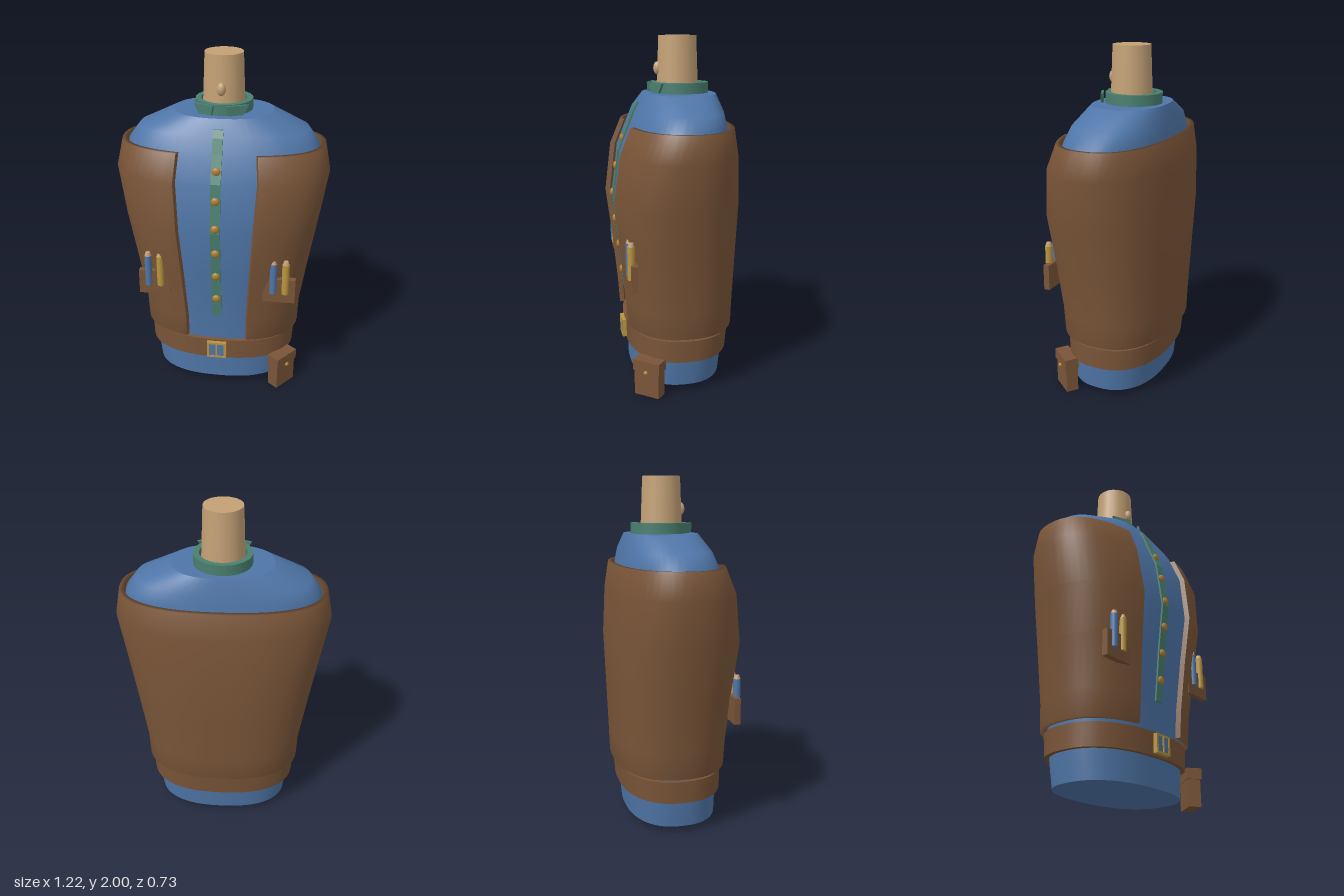
import * as THREE from 'three';
import { toCreasedNormals } from 'three/addons/utils/BufferGeometryUtils.js';

const N = 2.4; // superellipse exponent of the body's cross-sections
// body levels: y, half width, front z, back z
const BODY = [
  [0.04, 0.40, 0.255, -0.275], [0.20, 0.42, 0.258, -0.29], [0.35, 0.43, 0.265, -0.305],
  [0.50, 0.435, 0.275, -0.31], [0.80, 0.48, 0.305, -0.32], [1.08, 0.525, 0.34, -0.33],
  [1.36, 0.57, 0.302, -0.312], [1.51, 0.54, 0.24, -0.288], [1.59, 0.48, 0.21, -0.275],
  [1.68, 0.28, 0.158, -0.25],
];

function mat(name, color) {
  const m = new THREE.MeshStandardMaterial({ color });
  m.name = name;
  return m;
}

// body level at any height, grown outward by d
function level(y, d = 0) {
  let i = 0;
  while (i < BODY.length - 2 && y > BODY[i + 1][0]) i++;
  const t = (y - BODY[i][0]) / (BODY[i + 1][0] - BODY[i][0]);
  const [, a, f, b] = BODY[i].map((v, k) => THREE.MathUtils.lerp(v, BODY[i + 1][k], t));
  return [y, a + d, f + d, b - d];
}

// points of one level from angle t0 to t1 (0 = front, growing towards +x)
function section([y, a, f, b], t0, t1, n) {
  const pow = (v) => Math.sign(v) * Math.abs(v) ** (2 / N);
  return Array.from({ length: n + 1 }, (_, i) => {
    const t = t0 + ((t1 - t0) * i) / n;
    return [a * pow(Math.sin(t)), y, (f + b) / 2 + ((f - b) / 2) * pow(Math.cos(t))];
  });
}

// skin through rows of points; options close it around, close the profile, or cap it
function skin(rows, { around = false, profile = false, caps = false, ends = false }) {
  const pos = [], idx = [];
  if (around) rows = rows.map((r) => r.slice(0, -1));
  const n = rows[0].length, m = rows.length;
  rows.flat().forEach((p) => pos.push(...p));
  const quad = (a, b, c, d) => idx.push(a, b, c, a, c, d);
  for (let r = 0; r < (profile ? m : m - 1); r++) {
    for (let i = 0; i < (around ? n : n - 1); i++) {
      const j = (i + 1) % n, s = (r + 1) % m;
      quad(r * n + i, r * n + j, s * n + j, s * n + i);
    }
  }
  if (caps) {
    [rows[0], rows[m - 1]].forEach((row, top) => {
      const base = pos.length / 3;
      row.forEach((p) => pos.push(...p));
      pos.push(0, row[0][1], (row[0][2] + row[n / 2][2]) / 2);
      for (let i = 0; i < n; i++) {
        const a = base + i, b = base + ((i + 1) % n);
        idx.push(base + n, top ? a : b, top ? b : a);
      }
    });
  }
  if (ends) { // outer rows first, then the same inner rows in reverse
    [0, n - 1].forEach((col) => {
      const base = pos.length / 3;
      rows.forEach((row) => pos.push(...row[col]));
      for (let k = 0; k < m / 2 - 1; k++) {
        const q = [base + k, base + k + 1, base + m - 2 - k, base + m - 1 - k];
        quad(...(col ? q.reverse() : q));
      }
    });
  }
  const g = new THREE.BufferGeometry();
  g.setAttribute('position', new THREE.Float32BufferAttribute(pos, 3));
  g.setIndex(idx);
  g.computeVertexNormals();
  return g;
}

export function createModel() {
  const model = new THREE.Group();
  model.name = 'dressedTorso';
  const blue = mat('blueCloth', 0x4f76a8), brown = mat('brownLeather', 0x7a5538);
  const tan = mat('tanSkin', 0xc4a176), green = mat('greenTrim', 0x4a7f70);
  const gold = mat('goldMetal', 0xb9953f), brass = mat('brassButton', 0xb07f30);

  const add = (name, geo, material, x = 0, y = 0, z = 0, parent = model) => {
    const mesh = new THREE.Mesh(geo, material);
    mesh.name = name;
    mesh.position.set(x, y, z);
    parent.add(mesh);
    return mesh;
  };
  const box = (w, h, d) => new THREE.BoxGeometry(w, h, d);
  const TAU = Math.PI * 2;

  // shirt body
  add('shirt', skin(BODY.map((l) => section(l, 0, TAU, 56)), { around: true, caps: true }), blue);

  // open vest with thickness
  const vestY = BODY.slice(2, 8).map((l) => l[0]);
  const arc = (y, d) => section(level(y, d), 0.322, TAU - 0.322, 52);
  const vestRows = [...vestY.map((y) => arc(y, 0.04)), ...vestY.slice().reverse().map((y) => arc(y, 0.012))];
  add('vest', skin(vestRows, { profile: true, ends: true }), brown);

  // belt
  const beltRows = [[0.2, 0.024], [0.33, 0.022], [0.33, -0.01], [0.2, -0.01]]
    .map(([y, d]) => section(level(y, d), 0, TAU, 56));
  add('belt', toCreasedNormals(skin(beltRows, { around: true, profile: true }), 0.6), brown);

  // buckle
  const buckle = new THREE.Group();
  buckle.name = 'buckle';
  buckle.position.set(0, 0.267, 0.292);
  model.add(buckle);
  for (const s of [-1, 1]) {
    add('buckleSide', box(0.014, 0.106, 0.03), gold, s * 0.051, 0, 0, buckle);
    add('buckleBar', box(0.116, 0.012, 0.03), gold, 0, s * 0.047, 0, buckle);
  }
  add('bucklePlate', box(0.09, 0.084, 0.02), blue, 0, 0, 0.002, buckle);
  add('buckleProng', box(0.01, 0.09, 0.008), gold, 0, 0, 0.014, buckle);

  // button strip following the chest
  const stripY = [0.51, 0.8, 1.08, 1.36, 1.51, 1.59, 1.63];
  const stripShape = new THREE.Shape([
    ...stripY.map((y) => new THREE.Vector2(level(y)[2] + 0.01, y)),
    ...stripY.slice().reverse().map((y) => new THREE.Vector2(level(y)[2] - 0.012, y)),
  ]);
  const stripGeo = new THREE.ExtrudeGeometry(stripShape, { depth: 0.056, bevelEnabled: false });
  stripGeo.translate(0, 0, -0.028).rotateY(-Math.PI / 2);
  add('buttonStrip', stripGeo, green);
  const buttonGeo = new THREE.SphereGeometry(0.024, 12, 8);
  for (let i = 0; i < 6; i++) {
    const y = 0.633 + i * 0.1585;
    add('button', buttonGeo, brass, 0, y, level(y)[2] + 0.011).scale.z = 0.55;
  }

  // neck and throat
  add('neck', new THREE.CylinderGeometry(0.108, 0.122, 0.36, 20), tan, 0, 1.82, -0.04);
  add('throat', new THREE.SphereGeometry(0.025, 12, 8), tan, 0, 1.818, 0.074).scale.y = 1.5;

  // collar band with two points
  const collarProfile = [[0.13, 1.66], [0.162, 1.66], [0.162, 1.74], [0.13, 1.74], [0.13, 1.66]]
    .map(([x, y]) => new THREE.Vector2(x, y));
  add('collar', toCreasedNormals(new THREE.LatheGeometry(collarProfile, 24), 0.6), green, 0, 0, -0.055);
  for (const s of [-1, 1]) {
    const wing = new THREE.Shape([[-0.062, 0.027], [-0.03, -0.027], [0.05, -0.027], [0.062, 0.027]]
      .map(([x, y]) => new THREE.Vector2(-s * x, y)));
    const geo = new THREE.ExtrudeGeometry(wing, { depth: 0.014, bevelEnabled: false });
    add('collarPoint', geo, green, s * 0.09, 1.712, 0.092).rotation.y = s * 0.43;
  }

  // chest pockets with pens
  const penGeo = new THREE.CylinderGeometry(0.021, 0.021, 0.19, 12);
  const tipGeo = new THREE.CylinderGeometry(0.013, 0.019, 0.022, 12);
  for (const s of [-1, 1]) {
    add('pocket', box(0.185, 0.15, 0.035), brown, s * 0.362, 0.715, 0.283);
    for (const x of [0.327, 0.397]) {
      const isBlue = (x < 0.36) === (s > 0);
      add('pen', penGeo, isBlue ? blue : gold, s * x, 0.795, 0.296);
      add('penTip', tipGeo, tan, s * x, 0.9, 0.296);
    }
  }

  // belt pouch
  const pouch = new THREE.Group();
  pouch.name = 'pouch';
  pouch.position.set(0.391, 0, 0.199);
  pouch.rotation.y = 0.9;
  model.add(pouch);
  add('pouchBody', box(0.155, 0.2, 0.072), brown, 0, 0.1, 0, pouch);
  add('pouchFlap', box(0.168, 0.062, 0.084), brown, 0, 0.184, 0.002, pouch);
  add('pouchButton', new THREE.SphereGeometry(0.014, 12, 8), brass, 0, 0.147, 0.042, pouch);

  return model;
}
